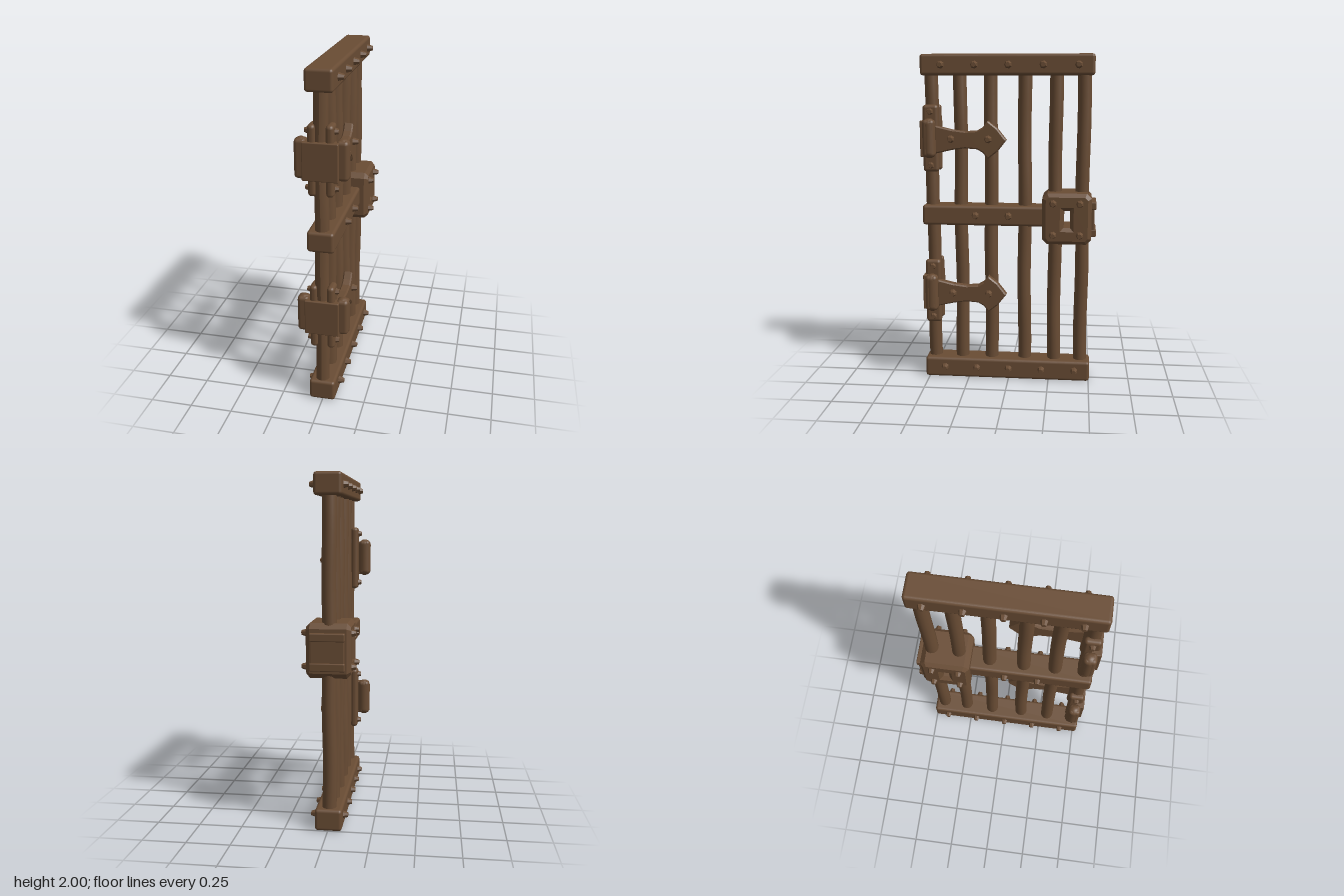
import * as THREE from 'three';
import { RoundedBoxGeometry } from 'three/addons/geometries/RoundedBoxGeometry.js';

export function createModel() {
  const gate = new THREE.Group();
  gate.name = 'gate';
  const iron = new THREE.MeshStandardMaterial({ color: 0x694c34 });
  iron.name = 'rusty iron';

  const add = (name, geometry, x, y, z, parent = gate) => {
    const mesh = new THREE.Mesh(geometry, iron);
    mesh.name = name;
    mesh.position.set(x, y, z);
    parent.add(mesh);
    return mesh;
  };
  const box = (name, w, h, d, x, y, z, r = 0.012, parent = gate) =>
    add(name, new RoundedBoxGeometry(w, h, d, 2, r), x, y, z, parent);

  // Bevelled plate drawn in (z, y) and thickened along x
  const plate = (name, points, hole, thickness, bevel, x, y, z, parent = gate) => {
    const shape = new THREE.Shape(points.map(p => new THREE.Vector2(...p)));
    if (hole) shape.holes.push(new THREE.Path(hole.map(p => new THREE.Vector2(...p))));
    const geo = new THREE.ExtrudeGeometry(shape, {
      depth: thickness - 2 * bevel, bevelThickness: bevel, bevelSize: bevel,
      bevelOffset: -bevel, bevelSegments: 1,
    });
    geo.translate(0, 0, -(thickness - 2 * bevel) / 2);
    geo.rotateY(-Math.PI / 2);
    return add(name, geo, x, y, z, parent);
  };

  // Faceted rivet head pointing along side * x, rooted at x
  const rivetGeo = new THREE.CylinderGeometry(0.014, 0.027, 0.045, 7).toNonIndexed();
  rivetGeo.computeVertexNormals();
  rivetGeo.rotateZ(-Math.PI / 2);
  const rivet = (side, x, y, z, parent = gate) => {
    const m = add('rivet', rivetGeo, side * (x + 0.0125), y, z, parent);
    if (side < 0) m.rotation.y = Math.PI;
  };

  // Upright bars, slightly uneven
  [0.47, 0.295, 0.11, -0.095, -0.28, -0.445].forEach((z, i) => {
    const geo = new THREE.CylinderGeometry(0.041, 0.041, 1.86, 12, 24, true);
    const p = geo.attributes.position;
    for (let k = 0; k < p.count; k++) {
      const y = p.getY(k);
      p.setX(k, p.getX(k) + 0.003 * Math.sin(y * 9 + i * 2.1));
      p.setZ(k, p.getZ(k) + 0.003 * Math.sin(y * 7 + i * 1.3));
    }
    geo.computeVertexNormals();
    add('bar', geo, -0.005, 1.0, z);
  });

  // Top, middle and bottom rails with rivets on both sides
  box('topRail', 0.155, 0.124, 1.03, -0.003, 1.938, 0.01, 0.018);
  box('bottomRail', 0.155, 0.126, 1.03, -0.003, 0.063, 0.01, 0.018);
  box('middleRail', 0.155, 0.122, 0.755, -0.003, 1.04, 0.148, 0.018);
  for (const side of [-1, 1]) {
    for (const z of [0.4, 0.2, 0, -0.205, -0.41]) {
      rivet(side, 0.072, 1.937, z);
      rivet(side, 0.072, 0.068, z);
    }
    for (const z of [0.2, 0]) rivet(side, 0.072, 1.042, z);
  }

  // Lock case with a keyhole right through
  const lock = new THREE.Group();
  lock.name = 'lock';
  gate.add(lock);
  const a = 0.147, b = 0.154, c = 0.03;
  plate('lockCase',
    [[-a + c, -b], [a - c, -b], [a, -b + c], [a, b - c], [a - c, b], [-a + c, b], [-a, b - c], [-a, -b + c]],
    [[-0.019, -0.053], [-0.019, 0.05], [0.019, 0.05], [0.019, -0.053]],
    0.25, 0.022, -0.003, 1.035, -0.353, lock);
  for (const side of [-1, 1])
    for (const y of [1.13, 0.94])
      for (const z of [-0.27, -0.43]) rivet(side, 0.118, y, z, lock);

  // Strike plate on the lock's edge
  box('strikePlate', 0.19, 0.2, 0.03, 0, 1.035, -0.502, 0.006, lock);
  for (const y of [0.95, 1.115]) box('strikeLip', 0.196, 0.045, 0.04, 0, y, -0.507, 0.006, lock);

  // Two strap hinges
  const arm = [[0.0, -0.083], [-0.1, -0.06], [-0.18, -0.05], [-0.25, -0.055], [-0.285, -0.075], [-0.315, -0.113],
    [-0.37, -0.07], [-0.425, 0]];
  const outline = [...arm, ...arm.slice(0, -1).reverse().map(([z, y]) => [z, -y])].reverse();
  for (const y of [1.5, 0.555]) {
    const hinge = new THREE.Group();
    hinge.name = 'hinge';
    hinge.position.y = y;
    gate.add(hinge);
    plate('hingeArm', outline, null, 0.055, 0.008, 0.069, 0, 0.435, hinge);
    rivet(1, 0.094, 0.005, 0.34, hinge);
    rivet(1, 0.094, 0.005, 0.118, hinge);
    box('hingeLeaf', 0.2, 0.215, 0.06, 0, 0.005, 0.495, 0.006, hinge);
    for (const side of [-1, 1]) {
      // Pin barrel, with softened ends
      const barrel = new THREE.CapsuleGeometry(0.039, 0.19, 4, 12);
      barrel.scale(1, 0.235 / 0.268, 1);
      add('hingeBarrel', barrel, side * 0.115, 0.01, 0.465, hinge);
      box('barrelSleeve', 0.07, 0.222, 0.074, side * 0.115, 0.01, 0.467, 0.022, hinge);
      // Long cheek clamped beside the bar
      box('hingeCheek', 0.045, 0.4, 0.096, side * 0.05, 0.005, 0.467, 0.02, hinge);
      for (const dy of [0.165, -0.155]) rivet(side, 0.058, dy, 0.467, hinge);
    }
  }
  return gate;
}
